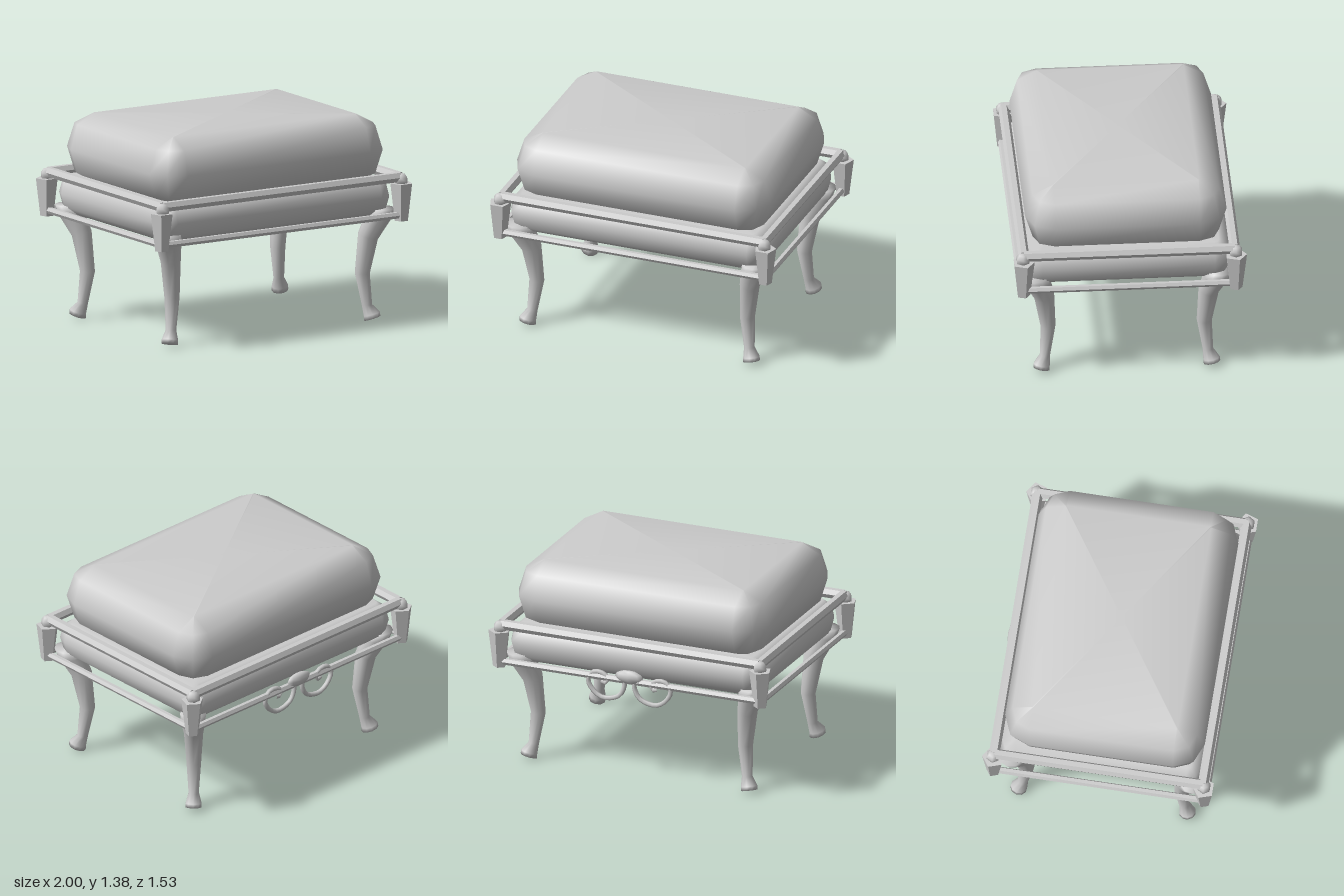
import * as THREE from 'three';

const metal = new THREE.MeshStandardMaterial({ color: 0xcccccc });
metal.name = 'plain grey';

function add(parent, name, geometry, x = 0, y = 0, z = 0) {
  const mesh = new THREE.Mesh(geometry, metal);
  mesh.name = name;
  mesh.position.set(x, y, z);
  parent.add(mesh);
  return mesh;
}

// Faceted normals for the low-poly metalwork
function faceted(geometry) {
  const g = geometry.toNonIndexed();
  g.computeVertexNormals();
  return g;
}

// Smooth skin over equal-sized rings listed from bottom to top, closed at both ends
function loft(rings) {
  const n = rings[0].length;
  const points = rings.flat();
  const index = [];
  for (let i = 0; i < rings.length - 1; i++) {
    for (let j = 0; j < n; j++) {
      const a = i * n + j, b = i * n + (j + 1) % n;
      index.push(a, a + n, b, b, a + n, b + n);
    }
  }
  [0, rings.length - 1].forEach((r, end) => {
    const centre = new THREE.Vector3();
    rings[r].forEach(p => centre.addScaledVector(p, 1 / n));
    points.push(centre);
    for (let j = 0; j < n; j++) {
      const a = r * n + j, b = r * n + (j + 1) % n;
      index.push(points.length - 1, end ? b : a, end ? a : b);
    }
  });
  const g = new THREE.BufferGeometry().setFromPoints(points);
  g.setIndex(index);
  g.computeVertexNormals();
  return g;
}

// Rounded rectangular block; each layer is [height, inset]
function roundedBlock(halfX, halfZ, radius, layers) {
  const corners = [[1, 1], [-1, 1], [-1, -1], [1, -1]];
  return loft(layers.map(([y, inset]) => {
    const r = Math.max(radius - inset, 0.004);
    const ring = [];
    corners.forEach(([sx, sz], quarter) => {
      for (let k = 0; k <= 2; k++) {
        const a = (quarter + k / 2) * Math.PI / 2;
        ring.push(new THREE.Vector3(
          sx * (halfX - inset - r) + r * Math.cos(a), y,
          sz * (halfZ - inset - r) + r * Math.sin(a)));
      }
    });
    return ring;
  }));
}

// Curved leg bending along the diagonal; each row is [height, reach, radius, tilt]
function legGeometry(sx, sz) {
  const rows = [
    [0.022, 0.785, 0.055, 0.32], [0.05, 0.783, 0.054, 0.3], [0.11, 0.76, 0.035, 0.1],
    [0.32, 0.738, 0.05, 0], [0.57, 0.765, 0.066, -0.3], [0.7, 0.812, 0.085, -0.2], [0.76, 0.83, 0.088, 0],
  ];
  const heading = Math.atan2(sz, sx), sides = 10;
  return loft(rows.map(([y, reach, r, tilt]) => Array.from({ length: sides }, (_, i) => {
    const a = i / sides * Math.PI * 2;
    return new THREE.Vector3(
      sx * reach + r * Math.cos(heading + a), y + tilt * r * Math.cos(a),
      sz * (reach - 0.227) + r * Math.sin(heading + a));
  })));
}

export function createModel() {
  const model = new THREE.Group();
  model.name = 'footstool';

  // Padding
  add(model, 'cushion', roundedBlock(0.89, 0.66, 0.185,
    [[0.92, 0.18], [0.99, 0.05], [1.15, 0], [1.31, 0.05], [1.38, 0.18]]), 0, 0, 0.008);
  add(model, 'seatBase', roundedBlock(0.9, 0.675, 0.11,
    [[0.705, 0.08], [0.75, 0.025], [0.84, 0], [0.92, 0.02], [0.965, 0.08]]));

  // Six-sided rails, upper and lower, on all four sides
  const rails = [
    { name: 'upperRail', r: 0.035, y: 0.97, x: 0.918, z: 0.69 },
    { name: 'lowerRail', r: 0.023, y: 0.72, x: 0.935, z: 0.705 },
  ];
  for (const { name, r, y, x, z } of rails) {
    const rod = length => faceted(new THREE.CylinderGeometry(r, r, length, 6).rotateZ(Math.PI / 2));
    for (const s of [-1, 1]) {
      add(model, name, rod(2 * x), 0, y, s * z);
      add(model, name, rod(2 * z).rotateY(Math.PI / 2), s * x, y, 0);
    }
  }

  // Corner posts with ball finials, and the legs
  for (const sx of [-1, 1]) {
    for (const sz of [-1, 1]) {
      const corner = new THREE.Group();
      corner.name = 'corner';
      model.add(corner);
      add(corner, 'cornerPost', faceted(new THREE.CylinderGeometry(0.075, 0.045, 0.25, 5).rotateY(Math.PI)),
        sx * 0.929, 0.805, sz * 0.695);
      add(corner, 'finial', new THREE.SphereGeometry(0.048, 6, 5), sx * 0.925, 0.95, sz * 0.697);
      add(corner, 'leg', legGeometry(sx, sz), 0, 0, 0.008);
    }
  }

  // Scrolled ornament on the back rail
  const ornament = new THREE.Group();
  ornament.name = 'scrollOrnament';
  ornament.position.z = -0.707;
  model.add(ornament);
  const scroll = [
    [0.04, 0.75], [0.035, 0.68], [0.07, 0.61], [0.14, 0.58], [0.2, 0.58], [0.26, 0.62],
    [0.295, 0.69], [0.26, 0.745], [0.2, 0.75], [0.155, 0.72], [0.16, 0.685], [0.2, 0.69],
  ];
  for (const s of [-1, 1]) {
    const path = new THREE.CatmullRomCurve3(scroll.map(([x, y]) => new THREE.Vector3(s * x, y, 0)));
    add(ornament, 'scroll', new THREE.TubeGeometry(path, 22, 0.016, 6));
  }
  add(ornament, 'boss', new THREE.SphereGeometry(1, 8, 6).scale(0.1, 0.045, 0.032), 0, 0.75, -0.006);

  return model;
}
